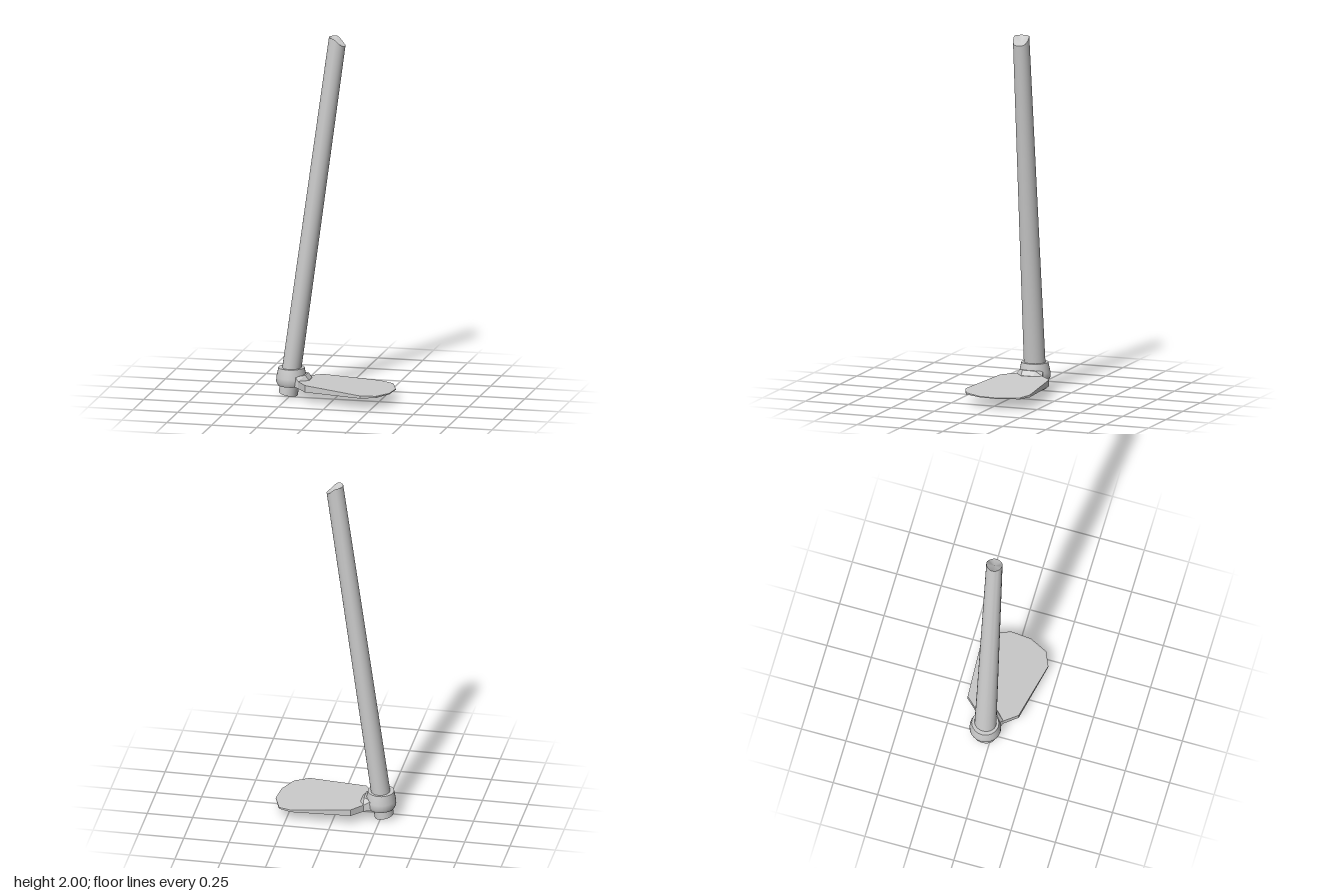
import * as THREE from 'three';
import { toCreasedNormals } from 'three/addons/utils/BufferGeometryUtils.js';
import { ConvexGeometry } from 'three/addons/geometries/ConvexGeometry.js';

const grey = new THREE.MeshStandardMaterial({ color: 0xcccccc });
const { lerp, smoothstep } = THREE.MathUtils;

function part(name, geometry, crease = 0.6) {
  const mesh = new THREE.Mesh(toCreasedNormals(geometry, crease), grey);
  mesh.name = name;
  return mesh;
}

// Leaning, tapered pole: oval foot, round top with a slanted, hollowed end
function handleGeometry() {
  const geometry = new THREE.CylinderGeometry(1, 1, 1, 28, 1);
  const p = geometry.attributes.position;
  for (let i = 0; i < p.count; i++) {
    const x = p.getX(i), z = p.getZ(i), t = p.getY(i) + 0.5;
    const centre = Math.hypot(x, z) < 0.01;
    const top = centre ? 1.965 : 2 - 0.045 * smoothstep(x, -0.4, 1);
    p.setXYZ(i,
      lerp(-0.264, 0.003, t) + x * lerp(0.051, 0.045, t),
      lerp(0.011 - 0.01 * x, top, t),
      lerp(-0.036, -0.058, t) + z * lerp(0.061, 0.044, t));
  }
  return geometry;
}

// Flat blade, thick at the neck and thin at the cutting edge
function bladeGeometry() {
  const outline = [
    [-0.165, -0.114], [-0.105, -0.178], [0.22, -0.195], [0.29, -0.167], [0.33, -0.055],
    [0.32, 0.058], [0.27, 0.157], [0.19, 0.192], [-0.135, 0.118], [-0.19, 0.047],
  ];
  const points = [];
  for (const [x, z] of outline) {
    const inset = x > 0 ? 0.975 : 1;
    points.push(new THREE.Vector3(x, 0.059, z));
    points.push(new THREE.Vector3(x, lerp(0.1, 0.064, (x + 0.19) / 0.52), z));
    points.push(new THREE.Vector3(x * inset, lerp(0.1, 0.067, (x + 0.19) / 0.52), z * inset));
  }
  return new ConvexGeometry(points);
}

// Short wedge joining the collar to the blade
function neckGeometry() {
  const corners = [
    [-0.21, 0.065, -0.106], [-0.21, 0.12, -0.1], [-0.21, 0.065, 0.04], [-0.21, 0.12, 0.03],
    [-0.16, 0.124, -0.075], [-0.16, 0.124, 0.0],
    [-0.165, 0.06, -0.114], [-0.165, 0.098, -0.114],
    [-0.19, 0.06, 0.047], [-0.19, 0.1, 0.047],
    [-0.14, 0.06, -0.07], [-0.14, 0.098, -0.07], [-0.14, 0.06, 0.0], [-0.14, 0.098, 0.0],
  ];
  return new ConvexGeometry(corners.map((c) => new THREE.Vector3(...c)));
}

export function createModel() {
  const group = new THREE.Group();
  group.name = 'hoe';

  group.add(part('handle', handleGeometry()));

  // Socket ring around the handle, closed on the inside
  const profile = [[0.05, 0.06], [0.077, 0.06], [0.086, 0.078], [0.085, 0.105],
    [0.074, 0.157], [0.05, 0.157], [0.05, 0.06]].map(([r, y]) => new THREE.Vector2(r, y));
  const collar = part('collar', new THREE.LatheGeometry(profile, 24));
  collar.position.set(-0.247, 0, -0.038);
  collar.scale.x = 0.96;
  group.add(collar);

  group.add(part('neck', neckGeometry(), 0.4));
  group.add(part('blade', bladeGeometry(), 0.2));
  return group;
}
